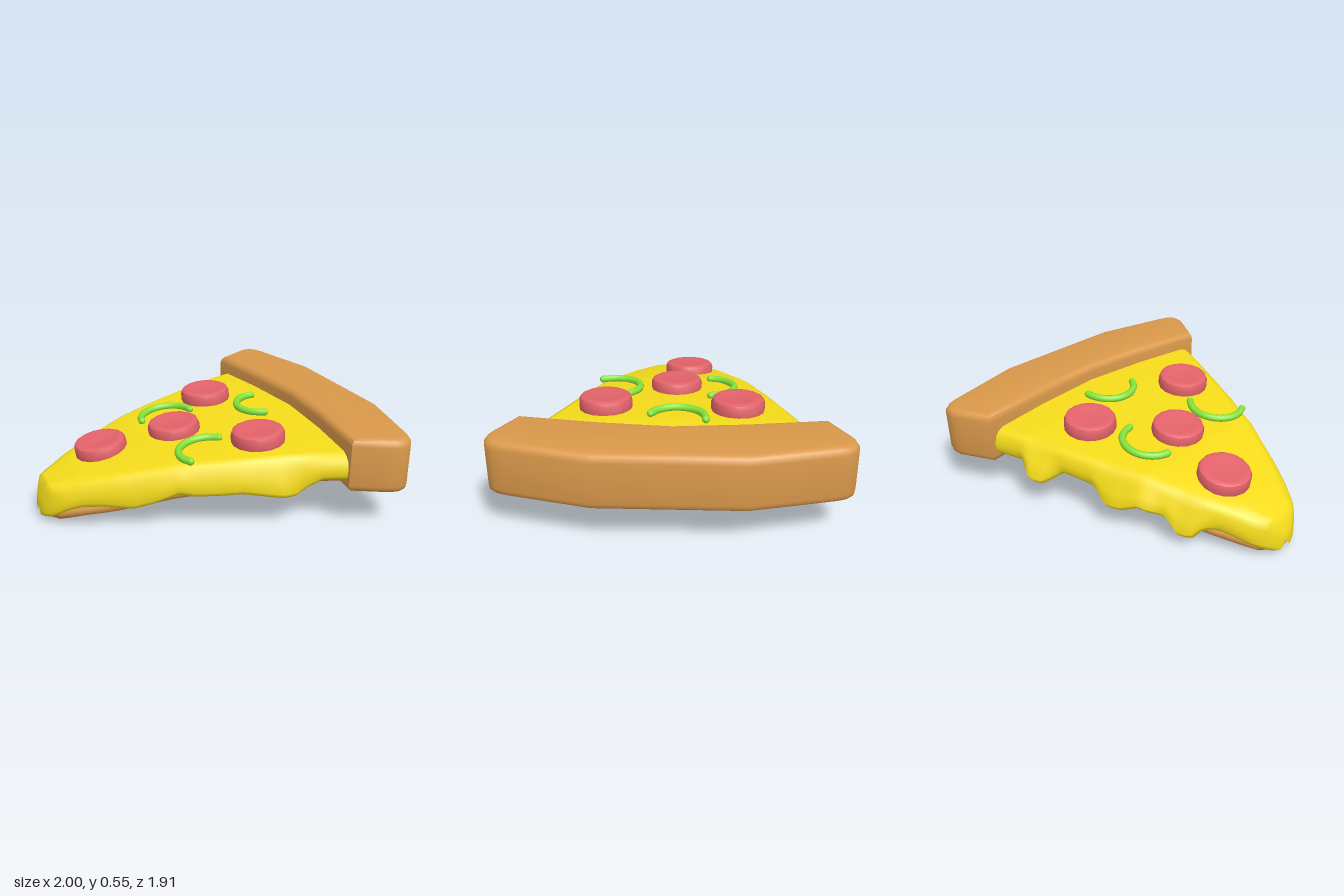
import * as THREE from 'three';
import { toCreasedNormals } from 'three/addons/utils/BufferGeometryUtils.js';

const mat = (color) => new THREE.MeshStandardMaterial({ color });

// Piecewise-linear lookup in a list of [x, value] pairs
function lookup(table, x) {
  if (x <= table[0][0]) return table[0][1];
  for (let i = 1; i < table.length; i++) {
    const [x0, v0] = table[i - 1], [x1, v1] = table[i];
    if (x <= x1) return v0 + (v1 - v0) * (x - x0) / (x1 - x0);
  }
  return table[table.length - 1][1];
}

// Profiles along the slice, from tip (-x) to crust (+x)
const WIDTH = [[-1, 0.04], [-0.98, 0.09], [-0.95, 0.13], [-0.9, 0.18], [-0.8, 0.24], [-0.62, 0.345], [-0.42, 0.44], [-0.1, 0.575], [0.54, 0.815], [0.75, 0.87]];
const TOP = [[-1, 0.12], [-0.96, 0.23], [-0.8, 0.285], [-0.55, 0.342], [-0.33, 0.39], [0, 0.422], [0.38, 0.45], [0.75, 0.45]];
const BOTTOM = [[-1, 0.025], [-0.97, 0.025], [-0.92, 0], [-0.68, 0.05], [-0.33, 0.14], [0, 0.19], [0.3, 0.222], [0.75, 0.228]];
const LOW_FRONT = [[-1, 0.035], [-0.95, 0.05], [-0.88, 0.1], [-0.8, 0.13], [-0.7, 0.14], [-0.55, 0.135], [-0.45, 0.17], [-0.32, 0.23], [-0.24, 0.215], [-0.1, 0.22], [0, 0.23], [0.12, 0.215], [0.22, 0.205], [0.28, 0.21], [0.35, 0.26], [0.42, 0.3], [0.75, 0.3]];
const LOW_BACK = [[-1, 0.035], [-0.9, 0.08], [-0.76, 0.14], [-0.68, 0.15], [-0.64, 0.09], [-0.57, 0.09], [-0.5, 0.18], [-0.36, 0.22], [-0.26, 0.17], [-0.16, 0.165], [-0.08, 0.25], [0.12, 0.28], [0.2, 0.21], [0.27, 0.21], [0.35, 0.29], [0.75, 0.3]];
// Extra overhang where the cheese drips
const BULGE_FRONT = [[-0.6, 0], [-0.4, 0.01], [-0.1, 0.01], [0.1, 0.02], [0.2, 0.03], [0.32, 0]];
const BULGE_BACK = [[-0.72, 0], [-0.64, 0.05], [-0.56, 0.05], [-0.47, 0.03], [-0.4, 0.06], [-0.2, 0.055], [-0.05, 0], [0.14, 0], [0.21, 0.07], [0.28, 0.07], [0.38, 0]];

// Loft closed rings of [z, y] along x, with fan caps
function loft(xs, ringAt) {
  const rings = xs.map(ringAt), n = rings[0].length, pos = [], idx = [];
  rings.forEach((r, i) => r.forEach(([z, y]) => pos.push(xs[i], y, z)));
  for (let i = 0; i < xs.length - 1; i++) {
    for (let j = 0; j < n; j++) {
      const k = (j + 1) % n, a = i * n + j, b = i * n + k;
      idx.push(a, b, b + n, a, b + n, a + n);
    }
  }
  [0, xs.length - 1].forEach((e) => {
    const c = pos.length / 3;
    const mean = (q) => rings[e].reduce((s, p) => s + p[q], 0) / n;
    pos.push(xs[e], mean(1), mean(0));
    for (let j = 0; j < n; j++) {
      const a = e * n + j, b = e * n + (j + 1) % n;
      if (e) idx.push(c, a, b); else idx.push(c, b, a);
    }
  });
  const g = new THREE.BufferGeometry();
  g.setAttribute('position', new THREE.Float32BufferAttribute(pos, 3));
  g.setIndex(idx);
  g.computeVertexNormals();
  return g;
}

const range = (a, b, n) => Array.from({ length: n + 1 }, (_, i) => a + (b - a) * i / n);

// Cheese: flat top, rounded rim, sides running down to the drip line
function cheeseRing(x) {
  const top = lookup(TOP, x), inner = lookup(BOTTOM, x) + 0.07;
  const half = (s) => {
    const w = lookup(WIDTH, x), k = Math.min(1, w / 0.2);
    const low = lookup(s > 0 ? LOW_FRONT : LOW_BACK, x);
    const out = w + lookup(s > 0 ? BULGE_FRONT : BULGE_BACK, x);
    const h = top - low;
    return [
      [w * 0.5, top], [w - 0.075 * k, top - 0.004], [w - 0.035 * k, top - 0.02 * k],
      [w - 0.01 * k, top - 0.3 * h], [(w + out) / 2, top - 0.6 * h], [out, low + 0.025],
      [out - 0.015 * k, low], [w - 0.05 * k, low + 0.01], [w - 0.1 * k, inner],
    ].map(([z, y]) => [z * s, y]);
  };
  return [[0, top], ...half(1), ...half(-1).reverse()];
}

// Dough: rounded underside, narrower than the cheese
function doughRing(x) {
  const b = lookup(BOTTOM, x), w = lookup(WIDTH, x) * 0.97 - 0.012;
  const half = (s) => [
    [w - 0.02, b + 0.11], [w, b + 0.085], [w, b + 0.065], [w * 0.96, b + 0.045], [w * 0.8, b + 0.025], [w * 0.45, b + 0.006],
  ].map(([z, y]) => [z * s, y]);
  return [[0, b + 0.11], ...half(1), [0, b], ...half(-1).reverse()];
}

function makeCrust() {
  const side = [[0.635, 0], [0.6, 0.4], [0.54, 0.835], [0.71, 0.93], [0.75, 0.95], [0.8, 0.957], [0.84, 0.945], [0.87, 0.91], [0.89, 0.86], [1, 0.4]];
  const outline = [...side, ...side.slice(1).reverse().map(([x, z]) => [x, -z])];
  const r = 0.045;
  const g = new THREE.ExtrudeGeometry(new THREE.Shape(outline.map((p) => new THREE.Vector2(...p))), {
    depth: 0.32 - 2 * r, bevelEnabled: true, bevelSize: r, bevelThickness: r, bevelOffset: -r, bevelSegments: 4,
  });
  g.rotateX(Math.PI / 2).translate(0, 0.55 - r, 0);
  return toCreasedNormals(g, 0.7);
}

export function createModel() {
  const model = new THREE.Group();
  const add = (name, geometry, material) => {
    const m = new THREE.Mesh(geometry, material);
    m.name = name;
    model.add(m);
    return m;
  };
  const bread = mat(0xd9984a);
  add('crust', makeCrust(), bread);
  add('dough', loft([-0.975, -0.96, -0.94, ...range(-0.91, 0.74, 33)], doughRing), bread);
  add('cheese', loft([-1, -0.99, -0.98, -0.96, -0.94, ...range(-0.91, 0.68, 60)], cheeseRing), mat(0xf5dc1b));

  // Sausage slices, tilted with the cheese
  const disc = toCreasedNormals(new THREE.LatheGeometry(
    [[0, -0.04], [0.14, -0.04], [0.155, -0.02], [0.155, 0.035], [0.147, 0.056], [0.128, 0.066], [0.105, 0.062], [0, 0.055]]
      .map((p) => new THREE.Vector2(...p)), 16), 0.7);
  const meat = mat(0xe3636a);
  [[-0.59, -0.07, 0.16, 0], [-0.155, 0, 0.11, 0], [0.21, -0.365, 0.08, 0.01], [0.2, 0.4, 0.08, 0.01]].forEach(([x, z, tilt, lift]) => {
    const m = add('sausageSlice', disc, meat);
    m.position.set(x, lookup(TOP, x) + lift, z);
    m.rotation.z = tilt;
  });

  // Pepper strips: arcs lying on the cheese, angles in degrees (0 = +x, 90 = +z)
  const green = mat(0x86e53c);
  [[-0.125, -0.195, 0.16, 185, 355, 0.014], [0.445, -0.02, 0.16, 272, 112, 0.035], [-0.11, 0.385, 0.162, 148, 318, 0.014]].forEach(([cx, cz, r, a0, a1, lift]) => {
    const pts = range(a0, a1, 10).map((deg) => {
      const a = deg * Math.PI / 180, x = cx + r * Math.cos(a);
      return new THREE.Vector3(x, lookup(TOP, x) + lift, cz + r * Math.sin(a));
    });
    const strip = new THREE.Group();
    strip.name = 'pepperStrip';
    strip.add(new THREE.Mesh(new THREE.TubeGeometry(new THREE.CatmullRomCurve3(pts), 20, 0.022, 8), green));
    // Rounded ends
    [pts[0], pts[10]].forEach((p) => {
      const end = new THREE.Mesh(new THREE.SphereGeometry(0.022, 8, 6), green);
      end.position.copy(p);
      strip.add(end);
    });
    model.add(strip);
  });
  return model;
}
